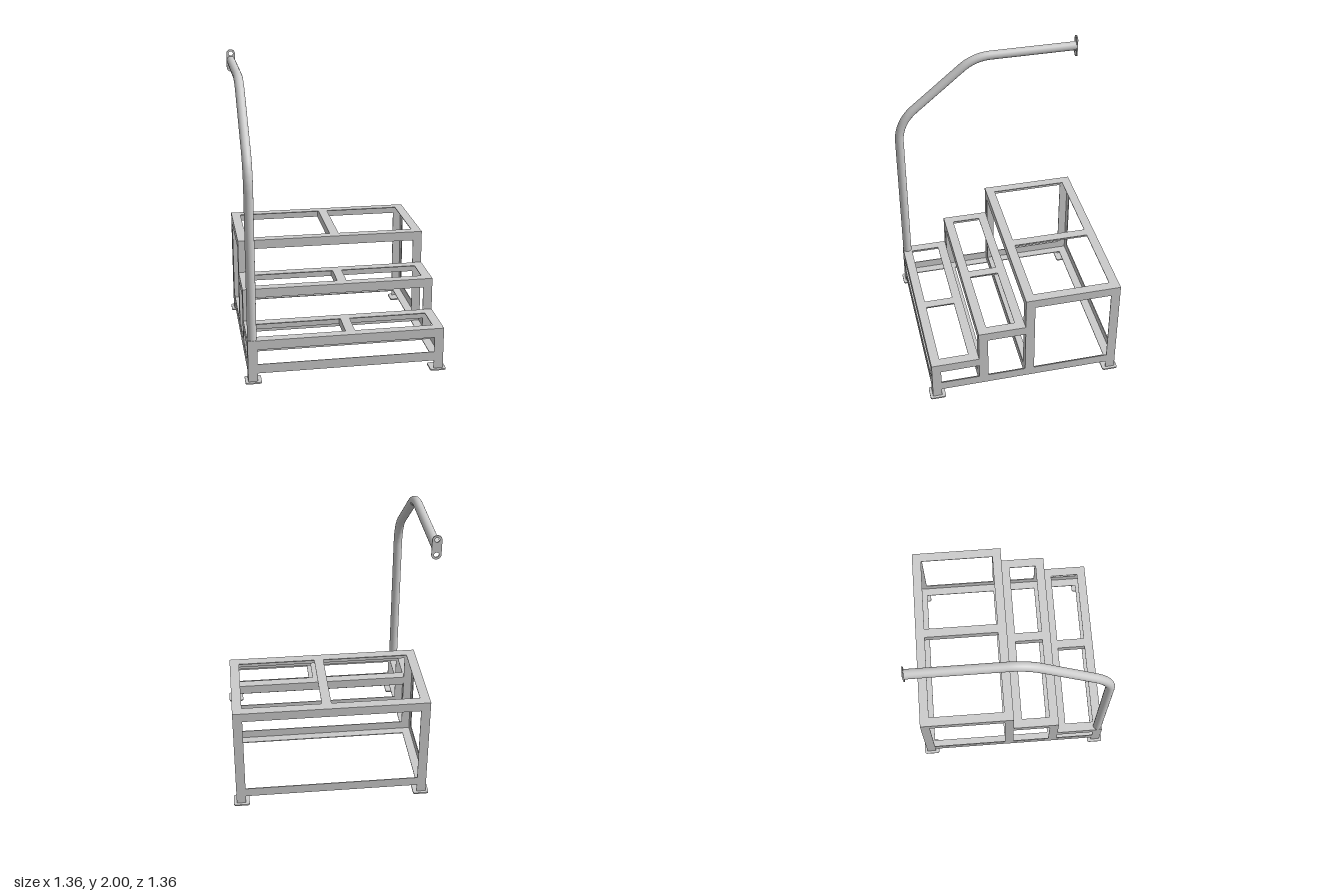
import * as THREE from 'three';

const mat = new THREE.MeshStandardMaterial({ color: 0xcccccc, side: THREE.DoubleSide });
const W = 0.064;   // flange width of the angle iron
const T = 0.006;   // flange thickness
const E = 0.66;    // half size of the frame
const BASE = 0.067; // underside of the bottom frame

export function createModel() {
  const root = new THREE.Group();
  const add = (parent, name, geometry) => {
    const mesh = new THREE.Mesh(geometry, mat);
    mesh.name = name;
    parent.add(mesh);
    return mesh;
  };
  const group = (name) => {
    const g = new THREE.Group();
    g.name = name;
    root.add(g);
    return g;
  };
  // angle iron inside the box min..max; flanges lie on the listed sides, as [axis, sign]
  const angle = (parent, name, min, max, ...sides) => {
    for (const [axis, sign] of sides) {
      const lo = new THREE.Vector3(...min), hi = new THREE.Vector3(...max);
      if (sign > 0) lo[axis] = hi[axis] - T;
      else hi[axis] = lo[axis] + T;
      const size = hi.clone().sub(lo);
      add(parent, name, new THREE.BoxGeometry(size.x, size.y, size.z))
        .position.copy(lo.add(hi).multiplyScalar(0.5));
    }
  };
  // rounded rectangle centred on the origin
  const roundedShape = (w, h, r) => {
    const s = new THREE.Shape();
    s.absarc(w / 2 - r, h / 2 - r, r, 0, Math.PI / 2);
    s.absarc(-w / 2 + r, h / 2 - r, r, Math.PI / 2, Math.PI);
    s.absarc(-w / 2 + r, -h / 2 + r, r, Math.PI, Math.PI * 1.5);
    s.absarc(w / 2 - r, -h / 2 + r, r, Math.PI * 1.5, Math.PI * 2);
    s.closePath();
    return s;
  };
  // inner and outer x of a member on the given side
  const sideX = (s) => (s > 0 ? [E - W, E] : [-E, -E + W]);

  // bottom frame: side rails and four cross rails, flat flange underneath
  const base = group('bottomFrame');
  for (const s of [-1, 1]) {
    const [x0, x1] = sideX(s);
    angle(base, 'bottomSideRail', [x0, BASE, -E], [x1, BASE + W, E], ['y', -1], ['x', s]);
  }
  for (const [z, s] of [[E, 1], [0.328, 1], [0, 1], [-E + W, -1]])
    angle(base, 'bottomCrossRail', [-E, BASE, z - W], [E, BASE + W, z], ['y', -1], ['z', s]);

  // step frames: [name, top height, front z, back z]
  const steps = [
    ['lowerStep', 0.3, E, 0.328],
    ['middleStep', 0.529, 0.328, 0],
    ['upperStep', 0.763, 0, -E],
  ];
  for (const [name, top, front, back] of steps) {
    const g = group(name);
    const y = top - W;
    angle(g, 'frontRail', [-E, y, front - W], [E, top, front], ['y', 1], ['z', 1]);
    angle(g, 'backRail', [-E, y, back], [E, top, back + W], ['y', 1], ['z', -1]);
    angle(g, 'centreRail', [0, y, back + T], [W, top, front - T], ['y', 1], ['x', -1]);
    for (const s of [-1, 1]) {
      const [x0, x1] = sideX(s);
      angle(g, 'sideRail', [x0, y, back], [x1, top, front], ['y', 1], ['x', s]);
      // front posts, the lowest pair reaching the feet
      angle(g, 'post', [x0, front === E ? 0.01 : BASE, front - W], [x1, top, front], ['z', 1], ['x', s]);
    }
  }

  // rear posts and foot plates
  const feet = group('rearPostsAndFeet');
  for (const sx of [-1, 1]) {
    const [x0, x1] = sideX(sx);
    angle(feet, 'rearPost', [x0, 0.01, -E], [x1, 0.763, -E + W], ['z', -1], ['x', sx]);
    for (const sz of [-1, 1]) {
      const plate = add(feet, 'footPlate', new THREE.ExtrudeGeometry(
        roundedShape(0.108, 0.108, 0.015), { depth: 0.01, bevelEnabled: false }));
      plate.rotation.x = -Math.PI / 2;
      plate.position.set(sx * 0.625, 0, sz * 0.625);
    }
  }

  // handrail: straight runs joined by circular bends
  const rail = group('handrail');
  const x = -0.628, R = 0.031;
  const v = (y, z) => new THREE.Vector3(x, y, z);
  const corners = [v(0.3, 0.628), v(1.458, 0.628), v(1.92, 0.07), v(1.92, -0.662)];
  const tangents = [0, 0.15, 0.115, 0];
  const pts = [corners[0]];
  for (let i = 1; i < 3; i++) {
    const a = corners[i - 1].clone().sub(corners[i]).normalize();
    const b = corners[i + 1].clone().sub(corners[i]).normalize();
    const half = a.angleTo(b) / 2, t = tangents[i];
    const radius = t * Math.tan(half);
    const toCentre = a.clone().add(b).normalize();
    const centre = corners[i].clone().addScaledVector(toCentre, t / Math.cos(half));
    const along = b.clone().sub(a).normalize();
    const sweep = Math.PI / 2 - half;
    for (let k = 0; k <= 12; k++) {
      const ang = sweep * (k / 6 - 1);
      pts.push(centre.clone()
        .addScaledVector(toCentre, -radius * Math.cos(ang))
        .addScaledVector(along, radius * Math.sin(ang)));
    }
  }
  pts.push(corners[3]);
  const path = new THREE.CurvePath();
  for (let i = 1; i < pts.length; i++) path.add(new THREE.LineCurve3(pts[i - 1], pts[i]));
  add(rail, 'railTube', new THREE.TubeGeometry(path, 160, R, 24, false));

  // wall plate with two bolt holes
  const shape = roundedShape(0.062, 0.16, 0.03);
  for (const y of [-0.05, 0.05]) {
    const hole = new THREE.Path();
    hole.absarc(0, y, 0.016, 0, Math.PI * 2, true);
    shape.holes.push(hole);
  }
  add(rail, 'wallPlate', new THREE.ExtrudeGeometry(shape, { depth: 0.008, bevelEnabled: false }))
    .position.set(x, 1.92, -0.67);

  return root;
}
